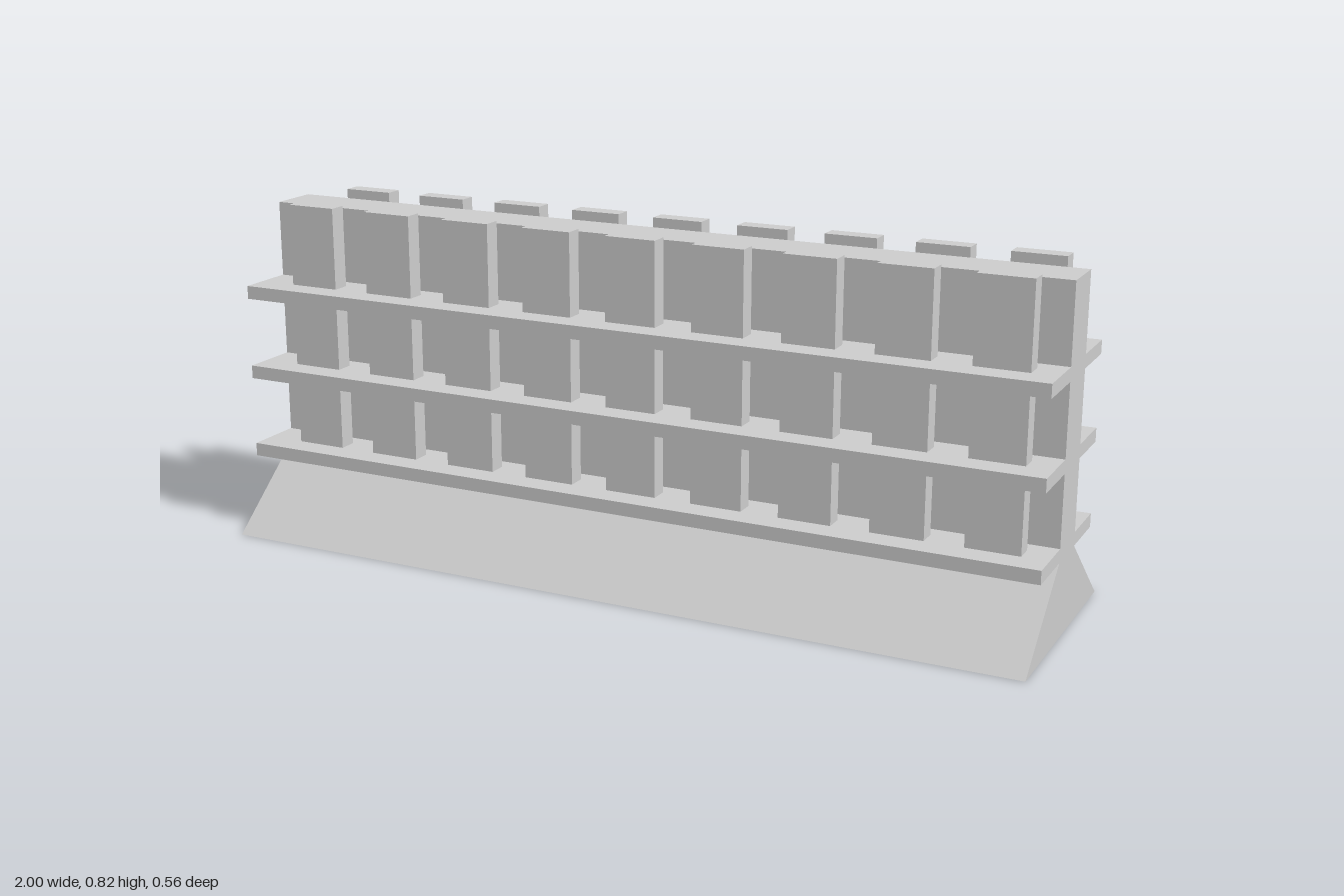
import * as THREE from 'three';

const LENGTH = 2;
const SPINE = 0.06; // half thickness of the central wall
const SHELF_Y = [0.201, 0.401, 0.602];
const SHELF_H = 0.032;

export function createModel() {
  const model = new THREE.Group();
  model.name = 'doubleSidedShelf';
  const material = new THREE.MeshStandardMaterial({ color: 0xcccccc, flatShading: true });

  const addBox = (parent, name, size, position) => {
    const mesh = new THREE.Mesh(new THREE.BoxGeometry(...size), material);
    mesh.name = name;
    mesh.position.set(...position);
    parent.add(mesh);
  };

  // Central wall flaring into a wedge-shaped foot, extruded along x
  const profile = new THREE.Shape([
    [-0.282, 0], [0.282, 0], [SPINE, 0.185], [SPINE, 0.802], [-SPINE, 0.802], [-SPINE, 0.185],
  ].map(([z, y]) => new THREE.Vector2(z, y)));
  const wallGeometry = new THREE.ExtrudeGeometry(profile, { depth: LENGTH, bevelEnabled: false });
  wallGeometry.translate(0, 0, -LENGTH / 2).rotateY(Math.PI / 2);
  const wall = new THREE.Mesh(wallGeometry, material);
  wall.name = 'wallAndFoot';
  model.add(wall);

  // Shelves and their rows of boxes; outer edge and box centre differ slightly by side
  const sides = [
    { name: 'front', sign: 1, edge: 0.204, boxZ: 0.12 },
    { name: 'back', sign: -1, edge: 0.197, boxZ: -0.124 },
  ];
  for (const { name, sign, edge, boxZ } of sides) {
    const side = new THREE.Group();
    side.name = `${name}Side`;
    model.add(side);
    SHELF_Y.forEach((y, row) => {
      addBox(side, 'shelf', [LENGTH, SHELF_H, edge - SPINE], [0, y, sign * (edge + SPINE) / 2]);

      // The top row stands free; lower rows reach the shelf above
      const bottom = y + SHELF_H / 2;
      const top = row < 2 ? SHELF_Y[row + 1] - SHELF_H / 2 : 0.816;
      for (let i = 0; i < 9; i++) {
        addBox(side, 'storedBox', [0.125, top - bottom, 0.044],
          [-0.846 + i * 0.2153, (top + bottom) / 2, boxZ]);
      }
    });
  }
  return model;
}
